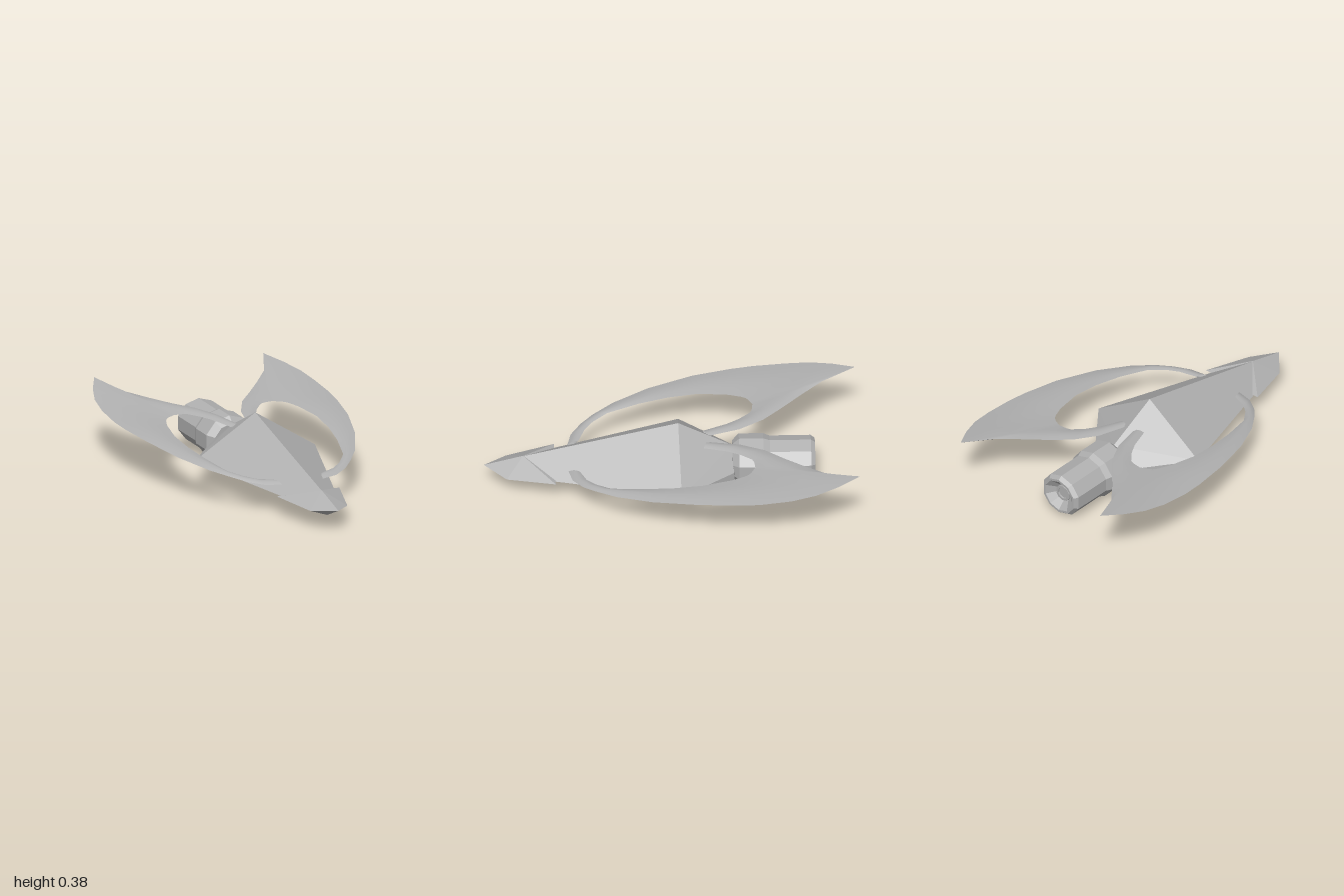
import * as THREE from 'three';
import { ConvexGeometry } from 'three/addons/geometries/ConvexGeometry.js';

const hullGrey = new THREE.MeshStandardMaterial({ color: 0xb0b0b0, side: THREE.DoubleSide });
hullGrey.name = 'hullGrey';

function part(name, geometry) {
  const mesh = new THREE.Mesh(geometry, hullGrey);
  mesh.name = name;
  return mesh;
}

// Faceted solid from half its corners, mirrored across x = 0
function facetedSolid(corners) {
  const points = [];
  for (const [x, y, z] of corners) {
    points.push(new THREE.Vector3(x, y, z));
    if (x > 0) points.push(new THREE.Vector3(-x, y, z));
  }
  return new ConvexGeometry(points);
}

// Wing plan: outer edge x, z and inner edge x, z, from front root round to rear root
const WING_ROWS = [
  [0.12, 0.55, 0.14, 0.49], [0.21, 0.53, 0.23, 0.455], [0.29, 0.475, 0.285, 0.41],
  [0.35, 0.41, 0.345, 0.33], [0.43, 0.30, 0.39, 0.16], [0.52, 0.11, 0.415, 0],
  [0.59, -0.13, 0.42, -0.16], [0.625, -0.34, 0.39, -0.32], [0.635, -0.46, 0.365, -0.385],
  [0.63, -0.63, 0.35, -0.41], [0.61, -0.76, 0.33, -0.425], [0.565, -0.88, 0.31, -0.435],
  [0.5, -1, 0.29, -0.445], [0.42, -0.82, 0.265, -0.443], [0.32, -0.70, 0.24, -0.44],
  [0.23, -0.60, 0.215, -0.43], [0.14, -0.50, 0.165, -0.37], [0.07, -0.37, 0.125, -0.30],
  [0.026, -0.195, 0.08, -0.175],
];

// Height of the wing along its length: z, y
const WING_HEIGHT = [
  [-1, 0.37], [-0.8, 0.332], [-0.6, 0.302], [-0.4, 0.284], [-0.2, 0.272],
  [0, 0.25], [0.2, 0.225], [0.4, 0.193], [0.5, 0.17], [0.56, 0.158],
];

function wingY(z) {
  let i = 1;
  while (i < WING_HEIGHT.length - 1 && z > WING_HEIGHT[i][0]) i++;
  const [z0, y0] = WING_HEIGHT[i - 1];
  const [z1, y1] = WING_HEIGHT[i];
  return y0 + (y1 - y0) * (z - z0) / (z1 - z0);
}

// Thin lens-section blade: an upper and a lower skin meeting at the edges
function wingGeometry(side) {
  const columns = 4;
  const position = [];
  const index = [];
  for (const skin of [1, -1]) {
    const base = position.length / 3;
    WING_ROWS.forEach(([ox, oz, ix, iz], r) => {
      for (let c = 0; c <= columns; c++) {
        const u = c / columns;
        const z = oz + (iz - oz) * u;
        const bulge = 0.009 * Math.sin(Math.PI * u);
        position.push(side * (ox + (ix - ox) * u), wingY(z) + skin * bulge, z);
        if (r === 0 || c === 0) continue;
        const d = base + r * (columns + 1) + c;
        const b = d - columns - 1;
        const quad = [b - 1, d - 1, b, b, d - 1, d];
        if (skin * side > 0) quad.reverse();
        index.push(...quad);
      }
    });
  }
  const geometry = new THREE.BufferGeometry();
  geometry.setAttribute('position', new THREE.Float32BufferAttribute(position, 3));
  geometry.setIndex(index);
  geometry.computeVertexNormals();
  return geometry;
}

// Ten-sided engine with a stepped casing and a dished nozzle: radius, distance back
function engineGeometry() {
  const profile = [
    [0, 0.33], [0.1, 0.33], [0.134, 0.365], [0.134, 0.495], [0.121, 0.53], [0.121, 0.75],
    [0.105, 0.772], [0.092, 0.772], [0.045, 0.725], [0.045, 0.74], [0.032, 0.74],
    [0.032, 0.73], [0, 0.73],
  ].map(([r, back]) => new THREE.Vector2(r, back));
  const flat = new THREE.LatheGeometry(profile, 10).toNonIndexed();
  flat.rotateX(-Math.PI / 2);
  flat.scale(1.07, 1, 1);
  flat.translate(0, 0.136, 0);
  flat.computeVertexNormals();
  return flat;
}

export function createModel() {
  const model = new THREE.Group();
  model.name = 'spacecraft';

  // Main hull with a raised ridge, pointed flanks and a shallow keel
  model.add(part('hull', facetedSolid([
    [0, 0.38, -0.04], [0.357, 0.15, -0.05], [0, 0.23, -0.33],
    [0.13, 0.138, -0.335], [0.13, 0.09, -0.34], [0, 0.062, -0.34],
    [0, 0.176, 0.8], [0.1, 0.11, 0.8], [0, 0.062, 0.8],
  ])));

  // Nose cap
  model.add(part('nose', facetedSolid([
    [0, 0.125, 1], [0.11, 0.105, 0.88], [0.185, 0.122, 0.62],
    [0, 0.181, 0.79], [0, 0.062, 0.86], [0, 0.057, 0.7],
  ])));

  model.add(part('engine', engineGeometry()));
  model.add(part('leftWing', wingGeometry(1)));
  model.add(part('rightWing', wingGeometry(-1)));
  return model;
}
